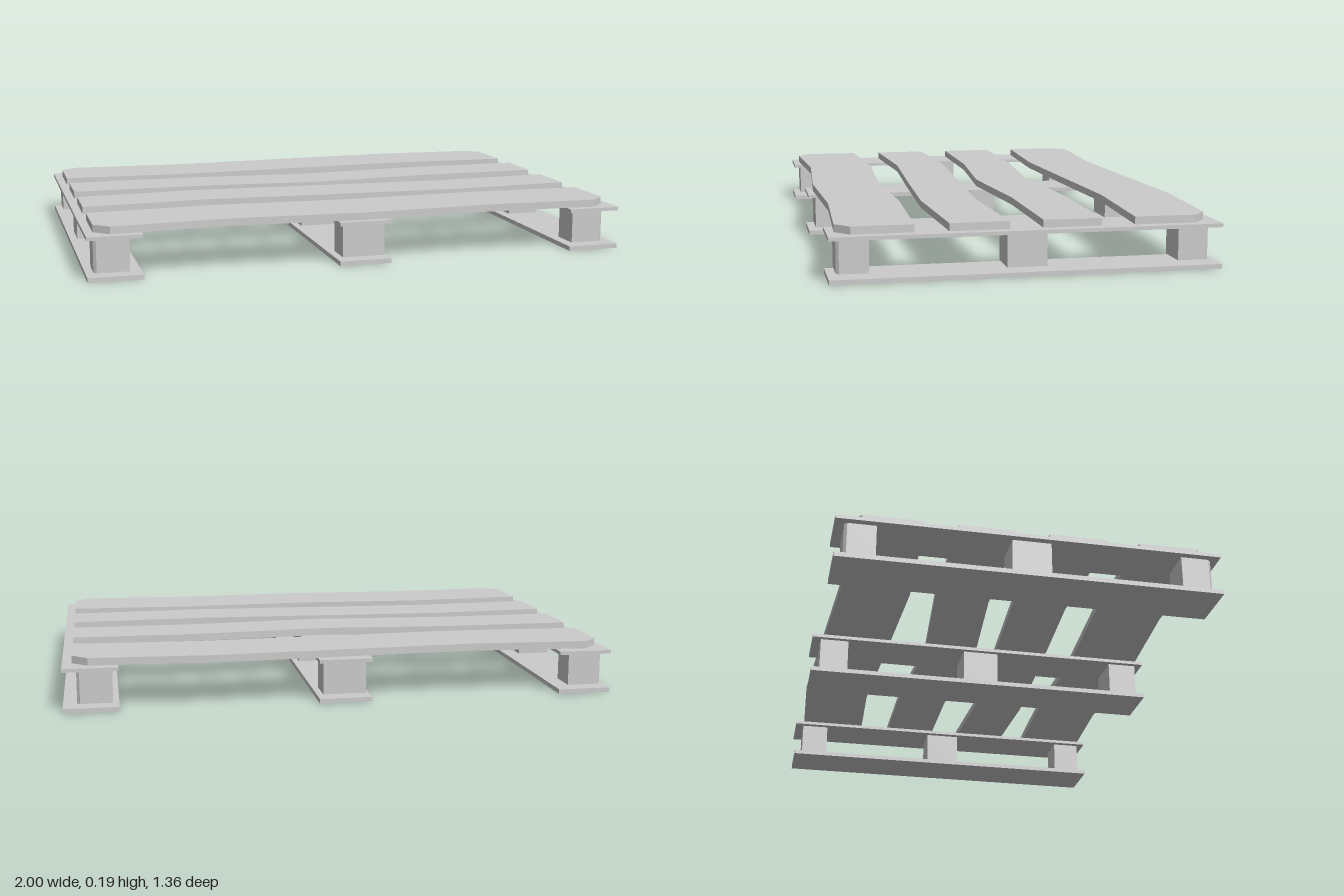
import * as THREE from 'three';

const material = new THREE.MeshStandardMaterial({ color: 0xcccccc, flatShading: true });

// Upright prism from an outline of [x, z] corners, between heights y0 and y1
function prism(name, corners, y0, y1) {
  const shape = new THREE.Shape(corners.map(([x, z]) => new THREE.Vector2(x, -z)));
  const geometry = new THREE.ExtrudeGeometry(shape, { depth: y1 - y0, bevelEnabled: false });
  geometry.rotateX(-Math.PI / 2).translate(0, y0, 0);
  const mesh = new THREE.Mesh(geometry, material);
  mesh.name = name;
  return mesh;
}

const rectangle = (x0, x1, z0, z1) => [[x0, z0], [x1, z0], [x1, z1], [x0, z1]];

// Block outline with the corner at (sx, sz) trimmed slightly
function trimmedBlock(x0, x1, z0, z1, sx, sz) {
  const c = 0.01;
  return rectangle(x0, x1, z0, z1).flatMap(([x, z], i) => {
    const isOuter = x === (sx > 0 ? x1 : x0) && z === (sz > 0 ? z1 : z0);
    if (!isOuter || !sx || !sz) return [[x, z]];
    const alongZ = [x, z - sz * c], alongX = [x - sx * c, z];
    return i % 2 ? [alongX, alongZ] : [alongZ, alongX];
  });
}

// Wavy deck plank: back and front edge z at five stations along x
const stations = [-0.97, -0.487, -0.003, 0.481, 0.965];
function plankOutline(back, front, trim) {
  const cx = 0.055, cz = 0.05;
  const edge = (zs, side) => stations.flatMap((x, i) => {
    const z = zs[i];
    if (trim !== side || (i > 0 && i < 4)) return [[x, z]];
    const outer = [x, z - side * cz];
    const inner = [x + (i ? -cx : cx), z];
    return i ? [inner, outer] : [outer, inner];
  });
  return [...edge(back, -1), ...edge(front, 1).reverse()];
}

export function createModel() {
  const group = new THREE.Group();
  group.name = 'pallet';

  // Three runners: bottom board, upper board and three blocks between
  const runners = [
    { side: -1, board: [-1, -0.805], block: [-0.975, -0.85] },
    { side: 0, board: [-0.1, 0.093], block: [-0.082, 0.075] },
    { side: 1, board: [0.803, 1], block: [0.825, 0.95] },
  ];
  const blockRows = [[-1, -0.645, -0.535], [0, -0.068, 0.071], [1, 0.54, 0.65]];
  for (const { side, board, block } of runners) {
    const runner = new THREE.Group();
    runner.name = 'runner';
    const outline = rectangle(...board, -0.678, 0.678);
    runner.add(prism('bottomBoard', outline, 0, 0.017));
    runner.add(prism('upperBoard', outline, 0.146, 0.159));
    for (const [row, z0, z1] of blockRows) {
      runner.add(prism('block', trimmedBlock(...block, z0, z1, side, row), 0.025, 0.146));
    }
    group.add(runner);
  }

  // Four deck planks, the outer two with trimmed corners
  const planks = [
    [[-0.635, -0.61, -0.635, -0.66, -0.638], [-0.372, -0.35, -0.372, -0.396, -0.372], -1],
    [[-0.255, -0.255, -0.217, -0.255, -0.255], [-0.05, -0.05, -0.011, -0.05, -0.05], 0],
    [[0.067, 0.042, 0.067, 0.089, 0.067], [0.273, 0.248, 0.273, 0.294, 0.273], 0],
    [[0.39, 0.365, 0.39, 0.373, 0.39], [0.652, 0.627, 0.654, 0.634, 0.652], 1],
  ];
  for (const plank of planks) {
    group.add(prism('deckPlank', plankOutline(...plank), 0.16, 0.187));
  }
  return group;
}
